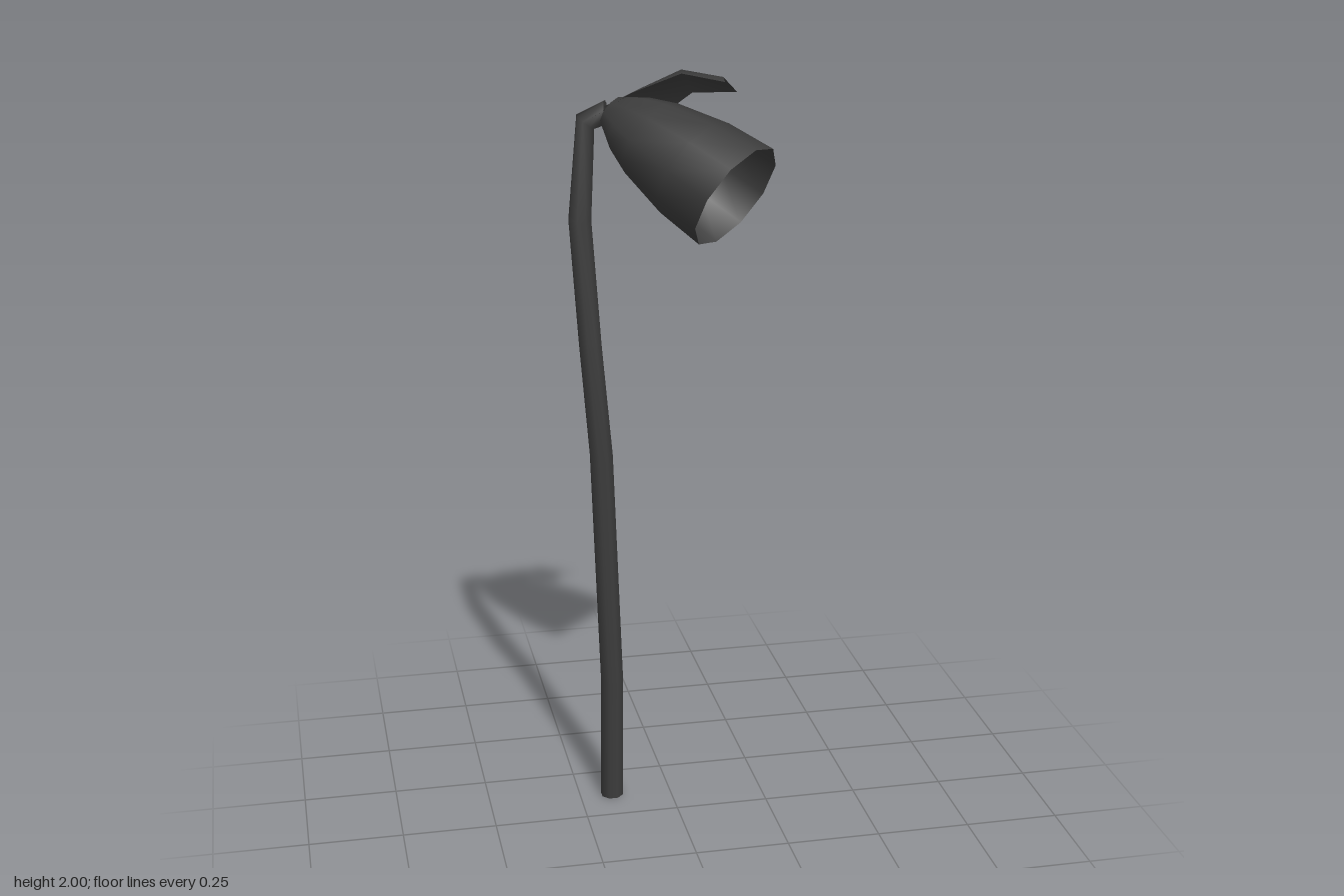
import * as THREE from 'three';

const material = new THREE.MeshStandardMaterial({ color: 0x3c3c3c, side: THREE.DoubleSide });
const vec = (p) => new THREE.Vector3(...p);

// Skin over rings given as { c: centre, n: facing direction, r: radius }
function loft(rings, sides) {
  const pos = [], index = [];
  for (const { c, n, r } of rings) {
    const normal = vec(n).normalize();
    const u = new THREE.Vector3(0, 0, 1).addScaledVector(normal, -normal.z).normalize();
    const v = normal.clone().cross(u);
    for (let j = 0; j < sides; j++) {
      const a = ((j + 0.5) / sides) * Math.PI * 2;
      const p = vec(c).addScaledVector(u, r * Math.cos(a)).addScaledVector(v, r * Math.sin(a));
      pos.push(p.x, p.y, p.z);
    }
  }
  for (let i = 0; i < rings.length - 1; i++) {
    for (let j = 0; j < sides; j++) {
      const k = (j + 1) % sides;
      const a = i * sides + j, b = i * sides + k;
      index.push(a, b, a + sides, b, b + sides, a + sides);
    }
  }
  const g = new THREE.BufferGeometry();
  g.setAttribute('position', new THREE.Float32BufferAttribute(pos, 3));
  g.setIndex(index);
  g.computeVertexNormals();
  return g;
}

function addMesh(group, name, geometry) {
  const mesh = new THREE.Mesh(geometry, material);
  mesh.name = name;
  group.add(mesh);
  return mesh;
}

export function createModel() {
  const group = new THREE.Group();
  group.name = 'droopingFlower';

  // Gently swaying stem that hooks over at the top
  const up = [0, 1, 0], r = 0.031;
  addMesh(group, 'stem', loft([
    { c: [-0.162, 0, -0.117], n: up, r },
    { c: [-0.158, 0.35, -0.117], n: up, r },
    { c: [-0.18, 1, -0.117], n: up, r },
    { c: [-0.205, 1.3, -0.117], n: up, r: 0.03 },
    { c: [-0.221, 1.62, -0.158], n: up, r: 0.03 },
    { c: [-0.203, 1.87, -0.16], n: [0.6, 0.8, 0.1], r: 0.029 },
    { c: [-0.152, 1.893, -0.154], n: [0.93, 0.1, 0.32], r: 0.031 },
  ], 8));

  // Closed ends of the stem
  const foot = addMesh(group, 'stemFoot', new THREE.CircleGeometry(r, 8, Math.PI / 8));
  foot.rotation.x = Math.PI / 2;
  foot.position.set(-0.162, 0, -0.117);
  const tip = addMesh(group, 'stemTip', new THREE.CircleGeometry(0.031, 8));
  tip.position.set(-0.152, 1.893, -0.154);
  tip.quaternion.setFromUnitVectors(new THREE.Vector3(0, 0, 1), vec([0.93, 0.1, 0.32]).normalize());

  // Open bell-shaped bloom, hanging forward and to its left
  const start = vec([-0.135, 1.895, -0.15]), mouth = vec([0.125, 1.72, 0.1]);
  const profile = [[-0.02, 0.012], [0, 0.045], [0.14, 0.08], [0.32, 0.108], [0.67, 0.138], [1, 0.147]];
  addMesh(group, 'bell', loft(profile.map(([t, radius]) => ({
    c: start.clone().lerp(mouth, t).toArray(),
    n: [0.61, -0.49, 0.62],
    r: radius,
  })), 10));

  // Curved leaf sheltering the bloom: back edge, midline, front edge
  const rows = [
    [[-0.145, 1.87, -0.175], [-0.035, 1.845, -0.21], [0.075, 1.93, -0.18], [0.175, 1.94, -0.11]],
    [[-0.175, 1.9, -0.15], [-0.065, 1.95, -0.15], [0.035, 1.998, -0.125], [0.13, 1.985, -0.07]],
    [[-0.19, 1.885, -0.13], [-0.1, 1.95, -0.085], [0.02, 2, -0.05], [0.12, 1.983, -0.005]],
  ];
  const leaf = new THREE.PlaneGeometry(1, 1, 3, 2);
  rows.flat().forEach((p, i) => leaf.attributes.position.setXYZ(i, ...p));
  leaf.computeVertexNormals();
  addMesh(group, 'hoodLeaf', leaf);

  return group;
}
